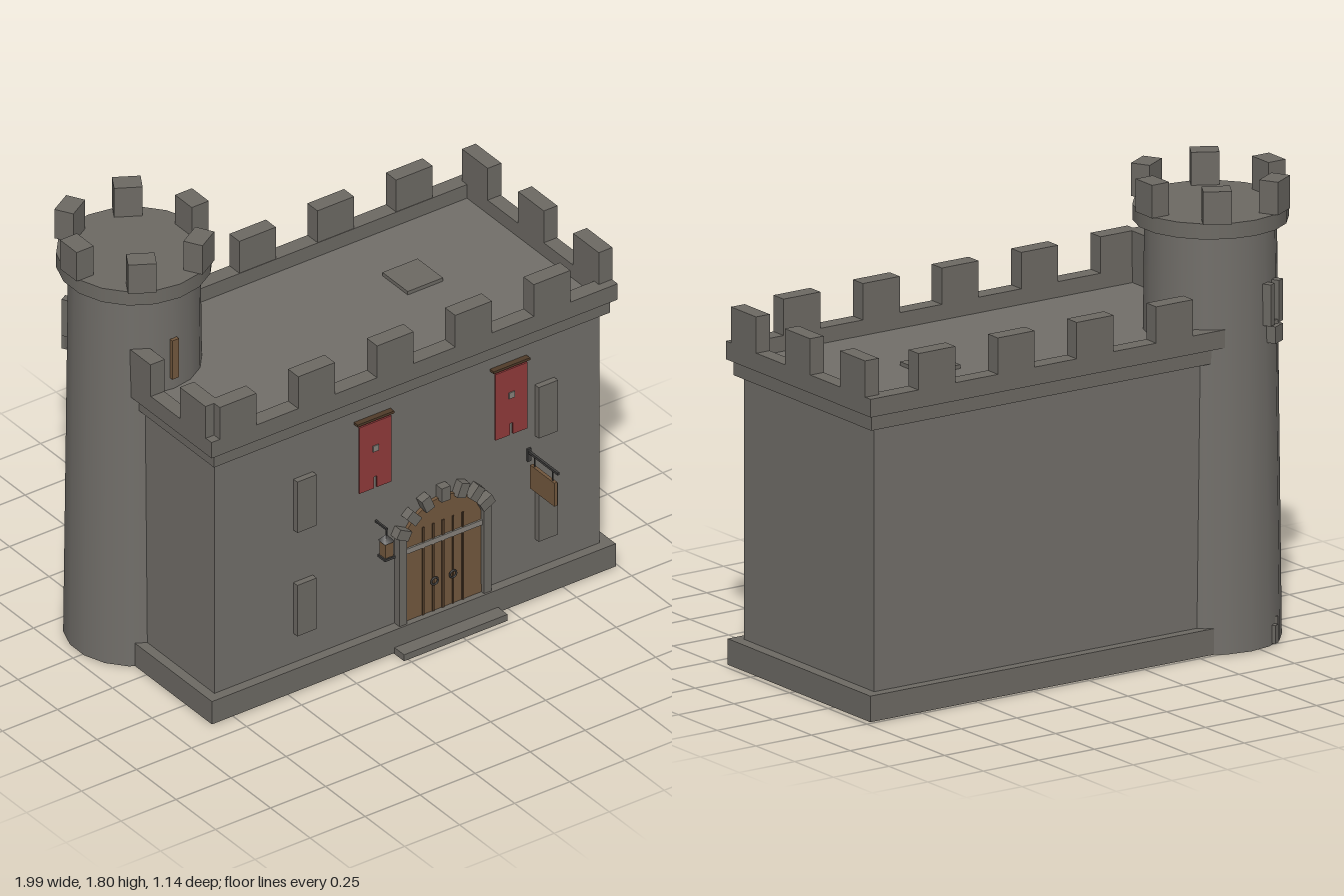
import * as THREE from 'three';

const mat = (name, color) => {
  const m = new THREE.MeshStandardMaterial({ color });
  m.name = name;
  return m;
};

export function createModel() {
  const root = new THREE.Group();
  root.name = 'castle';
  const stone = mat('stone', 0x716e69);
  const trim = mat('trimStone', 0x6c6963);
  const wood = mat('wood', 0x72573d);
  const darkWood = mat('darkWood', 0x4f3b29);
  const iron = mat('iron', 0x3d3c3b);
  const red = mat('redCloth', 0x8f3a3a);
  const silver = mat('paleMetal', 0x85817a);

  const add = (name, geo, m, parent = root) => {
    const mesh = new THREE.Mesh(geo, m);
    mesh.name = name;
    parent.add(mesh);
    return mesh;
  };
  // Box given by its lower and upper limits on each axis
  const box = (name, m, x0, x1, y0, y1, z0, z1, parent = root) => {
    const b = add(name, new THREE.BoxGeometry(x1 - x0, y1 - y0, z1 - z0), m, parent);
    b.position.set((x0 + x1) / 2, (y0 + y1) / 2, (z0 + z1) / 2);
    return b;
  };
  const group = (name) => {
    const g = new THREE.Group();
    g.name = name;
    root.add(g);
    return g;
  };

  // Hall
  box('wall', stone, -0.81, 0.94, 0.05, 1.15, -0.46, 0.38);
  box('plinth', trim, -0.85, 0.985, 0.005, 0.105, -0.5, 0.42);
  box('cornice', trim, -0.83, 0.97, 1.12, 1.18, -0.485, 0.405);
  box('roof', stone, -0.8, 0.94, 1.175, 1.19, -0.46, 0.37);
  box('roofHatch', trim, 0.37, 0.53, 1.19, 1.205, -0.2, -0.04);

  // Parapet and its merlons
  const parapet = group('parapet');
  box('parapetFront', trim, -0.855, 0.99, 1.18, 1.25, 0.36, 0.425, parapet);
  box('parapetBack', trim, -0.855, 0.99, 1.18, 1.25, -0.51, -0.445, parapet);
  box('parapetLeft', trim, 0.93, 0.99, 1.18, 1.25, -0.445, 0.36, parapet);
  box('parapetRight', trim, -0.855, -0.795, 1.18, 1.25, -0.445, 0.36, parapet);
  [-0.735, -0.378, -0.02, 0.335, 0.692].forEach((x, i) => {
    box('merlonFront', trim, x - 0.083, x + 0.083, 1.25, 1.39, 0.36, 0.425, parapet);
    if (i) box('merlonBack', trim, x - 0.083, x + 0.083, 1.25, 1.39, -0.51, -0.447, parapet);
  });
  [-0.395, -0.04, 0.308].forEach((z, i) => {
    box('merlonLeft', trim, 0.93, 0.992, 1.25, 1.39, z - 0.081, z + 0.081, parapet);
    if (i) box('merlonRight', trim, -0.857, -0.793, 1.25, 1.39, z - 0.081, z + 0.081, parapet);
  });

  // Corner tower
  const tower = group('tower');
  tower.position.set(-0.7, 0, -0.28);
  add('towerShaft', new THREE.CylinderGeometry(0.246, 0.264, 1.61, 18), stone, tower).position.y = 0.81;
  add('towerRim', new THREE.CylinderGeometry(0.29, 0.29, 0.06, 18), trim, tower).position.y = 1.64;
  for (let i = 0; i < 6; i++) {
    const pivot = new THREE.Group();
    pivot.name = 'towerMerlonPivot';
    pivot.rotation.y = i * Math.PI / 3;
    tower.add(pivot);
    box('towerMerlon', trim, 0.223, 0.3, 1.67, 1.797, -0.053, 0.053, pivot);
  }
  box('towerDoor', wood, -0.015, 0.015, 1.24, 1.41, 0.23, 0.262, tower);
  // Chute on the rear of the tower
  const chute = new THREE.Group();
  chute.name = 'towerChute';
  chute.rotation.y = Math.PI + 0.49;
  tower.add(chute);
  for (const s of [-1, 1]) {
    box('chuteJamb', trim, s * 0.034 - 0.016, s * 0.034 + 0.016, 1.24, 1.4, 0.22, 0.275, chute);
  }
  box('chuteSill', trim, -0.03, 0.03, 1.17, 1.235, 0.22, 0.285, chute);
  box('chuteOutlet', trim, -0.012, 0.012, 0.01, 0.08, 0.24, 0.275, chute);

  // Shuttered windows
  for (const x of [-0.407, 0.69]) {
    for (const y of [0.345, 0.8]) {
      box('window', trim, x - 0.044, x + 0.044, y - 0.112, y + 0.112, 0.37, 0.405);
    }
  }

  // Banners with a slit hem
  for (const x of [-0.093, 0.525]) {
    const b = group('banner');
    b.position.set(x, 0, 0.394);
    const s = new THREE.Shape([
      [-0.073, 0.75], [-0.007, 0.75], [-0.007, 0.8], [0.007, 0.8], [0.007, 0.75],
      [0.073, 0.75], [0.073, 1.04], [-0.073, 1.04],
    ].map(([u, v]) => new THREE.Vector2(u, v)));
    add('bannerCloth', new THREE.ExtrudeGeometry(s, { depth: 0.007, bevelEnabled: false }), red, b);
    box('bannerStud', silver, -0.013, 0.013, 0.912, 0.938, 0.005, 0.011, b);
    box('bannerRod', darkWood, -0.083, 0.083, 1.048, 1.058, -0.014, 0.01, b);
  }

  // Arched door
  const door = group('door');
  door.position.set(0.217, 0, 0);
  const leaf = new THREE.Shape();
  const a0 = Math.asin(0.08 / 0.19);
  leaf.moveTo(-0.175, 0.1);
  leaf.lineTo(0.175, 0.1);
  leaf.absarc(0, 0.402, 0.19, a0, Math.PI - a0, false);
  leaf.closePath();
  add('doorLeaf', new THREE.ExtrudeGeometry(leaf, { depth: 0.025, bevelEnabled: false, curveSegments: 12 }), wood, door)
    .position.z = 0.37;
  for (const x of [-0.09, -0.045, 0, 0.045, 0.09]) {
    const w = x ? 0.004 : 0.006;
    box('doorSeam', darkWood, x - w, x + w, 0.105, 0.49, 0.392, 0.399, door);
  }
  box('doorBand', silver, -0.175, 0.175, 0.403, 0.425, 0.393, 0.402, door);
  for (const s of [-1, 1]) {
    const ring = add('doorRing', new THREE.TorusGeometry(0.015, 0.004, 6, 14), iron, door);
    ring.position.set(s * 0.042, 0.238, 0.402);
    box('doorJamb', trim, s * 0.192 - 0.017, s * 0.192 + 0.017, 0.1, 0.49, 0.37, 0.412, door);
  }
  [-62, -42, -22, 0, 22, 42, 62].forEach((deg) => {
    const a = THREE.MathUtils.degToRad(deg);
    const v = add('archStone', new THREE.BoxGeometry(0.04, 0.06, 0.05), trim, door);
    v.position.set(Math.sin(a) * 0.215, 0.402 + Math.cos(a) * 0.21, 0.392);
    v.rotation.z = -a;
  });
  box('doorStep', trim, -0.02, 0.45, 0, 0.028, 0.4, 0.48);

  // Wall lantern
  const lantern = group('lantern');
  lantern.position.set(-0.077, 0, 0.448);
  box('lanternBody', wood, -0.018, 0.018, 0.47, 0.535, -0.018, 0.018, lantern);
  box('lanternBase', iron, -0.024, 0.024, 0.462, 0.472, -0.024, 0.024, lantern);
  const cap = add('lanternCap', new THREE.ConeGeometry(0.032, 0.03, 4), iron, lantern);
  cap.position.y = 0.55;
  cap.rotation.y = Math.PI / 4;
  box('lanternHook', iron, -0.003, 0.003, 0.56, 0.59, -0.003, 0.003, lantern);
  box('lanternArm', iron, -0.004, 0.004, 0.583, 0.591, -0.075, 0.004, lantern);

  // Hanging sign
  const sign = group('hangingSign');
  sign.position.x = 0.617;
  box('signArm', iron, -0.005, 0.005, 0.625, 0.635, 0.38, 0.57, sign);
  box('signPlate', iron, -0.008, 0.008, 0.59, 0.645, 0.378, 0.388, sign);
  for (const z of [0.42, 0.535]) box('signChain', iron, -0.002, 0.002, 0.58, 0.63, z - 0.002, z + 0.002, sign);
  box('signBoard', wood, -0.007, 0.007, 0.48, 0.583, 0.4, 0.553, sign);
  box('signEmblem', red, 0.006, 0.013, 0.497, 0.565, 0.445, 0.508, sign);

  return root;
}
